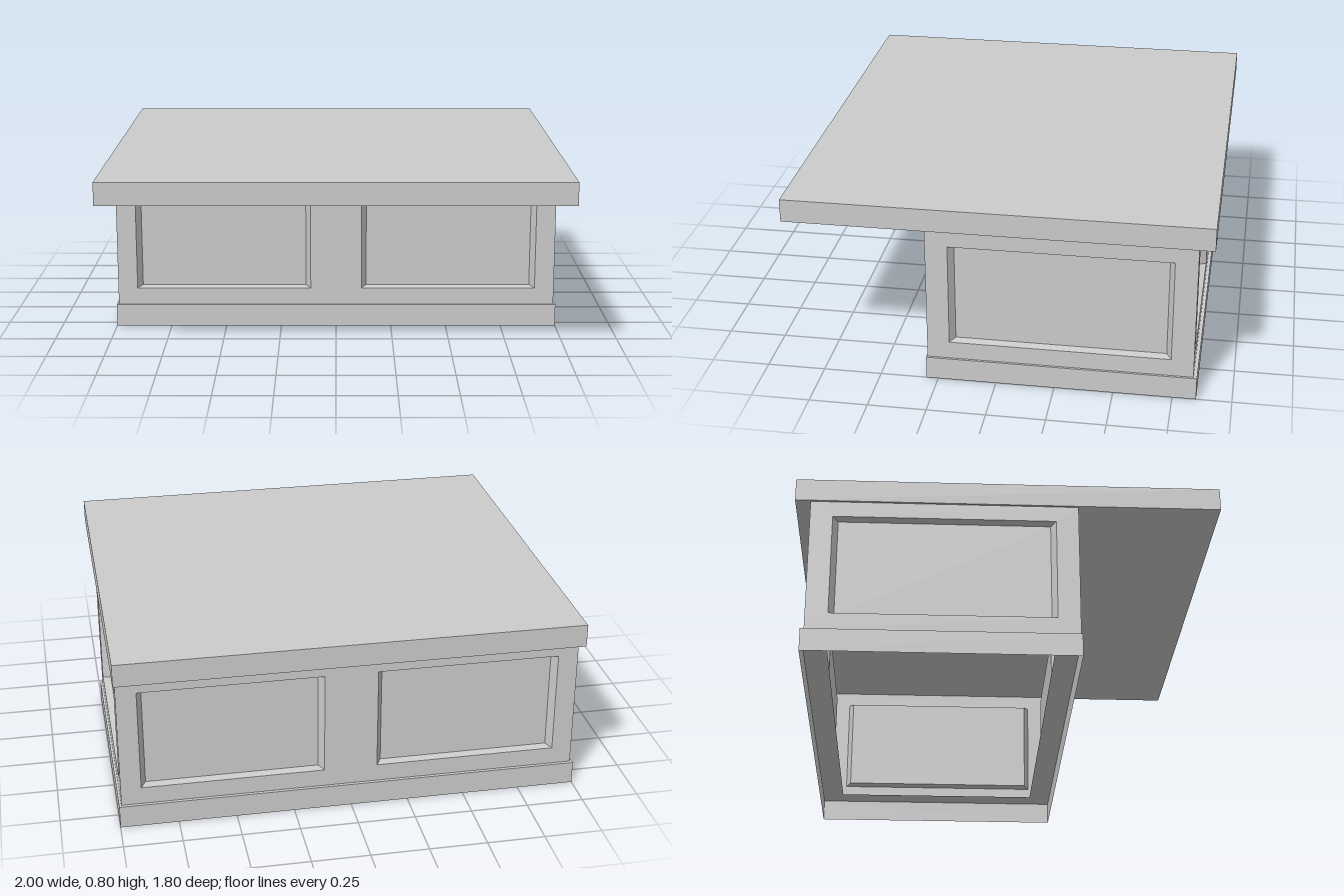
import * as THREE from 'three';

const grey = new THREE.MeshStandardMaterial({ color: 0xcccccc, flatShading: true });
const sheet = new THREE.MeshStandardMaterial({ color: 0xcccccc, flatShading: true, side: THREE.DoubleSide });

const BODY = { w: 1.98, d: 1.13, z: -0.27, y0: 0.1, y1: 0.7 };
const PLINTH = { w: 2, d: 1.15, z: -0.275, h: 0.1, flange: 0.1 };
const OPENING = { y0: 0.177, y1: 0.63 };

function mesh(name, geometry, material) {
  const m = new THREE.Mesh(geometry, material);
  m.name = name;
  return m;
}

function rect(path, x0, y0, x1, y1) {
  path.moveTo(x0, y0);
  path.lineTo(x1, y0);
  path.lineTo(x1, y1);
  path.lineTo(x0, y1);
  path.closePath();
  return path;
}

// Shallow tray: four sloped sides and a sunken flat panel
function recessGeometry(x0, y0, x1, y1, taperX = 0.022, taperY = 0.007, depth = 0.035) {
  const corners = (a, b, c, d, z) => [a, b, z, c, b, z, c, d, z, a, d, z];
  const g = new THREE.BufferGeometry();
  g.setAttribute('position', new THREE.Float32BufferAttribute([
    ...corners(x0, y0, x1, y1, 0),
    ...corners(x0 + taperX, y0 + taperY, x1 - taperX, y1 - taperY, -depth),
  ], 3));
  const index = [4, 5, 6, 4, 6, 7];
  for (let i = 0; i < 4; i++) {
    const j = (i + 1) % 4;
    index.push(i, j, j + 4, i, j + 4, i + 4);
  }
  g.setIndex(index);
  const flat = g.toNonIndexed();
  flat.computeVertexNormals();
  return flat;
}

// Framed wall facing +z with recessed panels given as [x0, x1]
function panelWall(name, width, panels) {
  const wall = new THREE.Group();
  wall.name = name;
  const frame = rect(new THREE.Shape(), -width / 2, BODY.y0, width / 2, BODY.y1);
  for (const [x0, x1] of panels) {
    frame.holes.push(rect(new THREE.Path(), x0, OPENING.y0, x1, OPENING.y1));
    wall.add(mesh('recessedPanel', recessGeometry(x0, OPENING.y0, x1, OPENING.y1), sheet));
  }
  wall.add(mesh('wallFrame', new THREE.ShapeGeometry(frame), sheet));
  return wall;
}

export function createModel() {
  const model = new THREE.Group();
  model.name = 'kitchenIsland';

  // Countertop overhanging at the front
  const top = mesh('countertop', new THREE.BoxGeometry(2, 0.1, 1.8), grey);
  top.position.y = 0.75;
  model.add(top);

  // Cabinet walls and plinth boards, one per side
  const pair = [[-0.903, -0.115], [0.115, 0.903]];
  const single = [[-0.47, 0.47]];
  ['front', 'left', 'back', 'right'].forEach((side, i) => {
    const across = i % 2 === 0;
    const angle = i * Math.PI / 2;
    const place = (part, box) => {
      const out = (across ? box.d : box.w) / 2;
      part.rotation.y = angle;
      part.position.x = Math.sin(angle) * out;
      part.position.z = box.z + Math.cos(angle) * out;
      model.add(part);
    };
    place(panelWall(side + 'Wall', across ? BODY.w : BODY.d, across ? pair : single), BODY);

    const board = mesh(side + 'Plinth', new THREE.PlaneGeometry(across ? PLINTH.w : PLINTH.d, PLINTH.h), sheet);
    board.position.y = PLINTH.h / 2;
    place(board, PLINTH);
  });

  // Ledge on top of the plinth, running inward as a flange
  const { w, d, flange } = PLINTH;
  const ring = rect(new THREE.Shape(), -w / 2, -d / 2, w / 2, d / 2);
  ring.holes.push(rect(new THREE.Path(), -w / 2 + flange, -d / 2 + flange, w / 2 - flange, d / 2 - flange));
  const ledge = mesh('plinthLedge', new THREE.ShapeGeometry(ring), sheet);
  ledge.rotation.x = -Math.PI / 2;
  ledge.position.set(0, PLINTH.h, PLINTH.z);
  model.add(ledge);

  return model;
}
